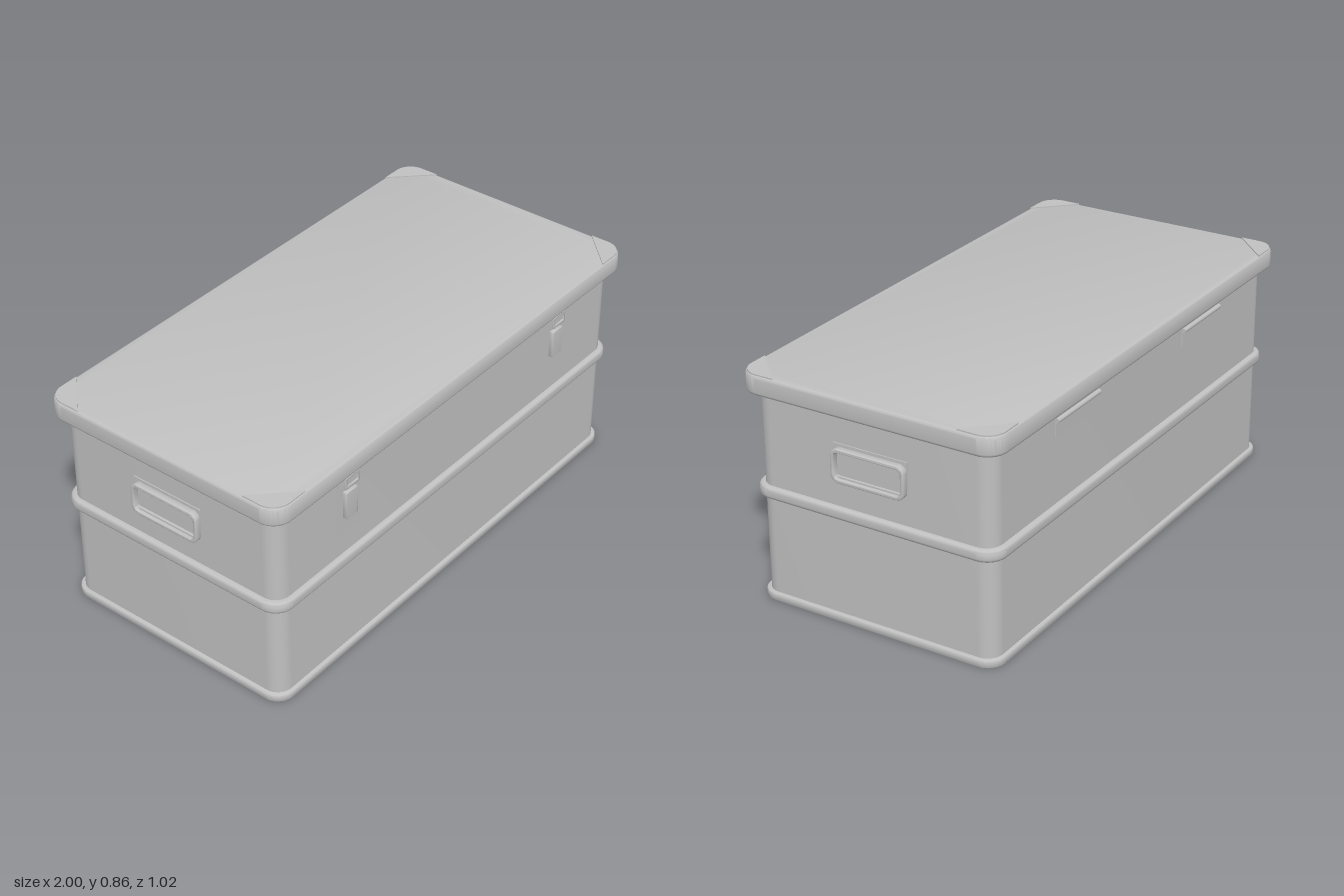
import * as THREE from 'three';
import { toCreasedNormals } from 'three/addons/utils/BufferGeometryUtils.js';

// Rounded rectangle centred on the origin
function roundedRect(w, h, r, Target = THREE.Shape) {
  const s = new Target(), x = w / 2, y = h / 2;
  s.moveTo(-x + r, -y);
  s.lineTo(x - r, -y);
  s.absarc(x - r, -y + r, r, -Math.PI / 2, 0, false);
  s.lineTo(x, y - r);
  s.absarc(x - r, y - r, r, 0, Math.PI / 2, false);
  s.lineTo(-x + r, y);
  s.absarc(-x + r, y - r, r, Math.PI / 2, Math.PI, false);
  s.lineTo(-x, -y + r);
  s.absarc(-x + r, -y + r, r, Math.PI, Math.PI * 1.5, false);
  return s;
}

// Extrusion along +z from 0 to depth, bevelled inside its outline
function extrude(shape, depth, bevel = 0) {
  const geo = new THREE.ExtrudeGeometry(shape, {
    depth: depth - 2 * bevel, curveSegments: 10,
    bevelEnabled: bevel > 0, bevelSize: bevel, bevelThickness: bevel,
    bevelOffset: -bevel, bevelSegments: 4,
  });
  geo.translate(0, 0, bevel);
  return toCreasedNormals(geo, 0.6);
}

// Horizontal rounded slab between two heights
function slab(w, d, r, y0, y1, bevel) {
  const geo = extrude(roundedRect(w, d, r), y1 - y0, bevel);
  geo.rotateX(-Math.PI / 2);
  geo.translate(0, y0, 0);
  return geo;
}

export function createModel() {
  const model = new THREE.Group();
  model.name = 'storageCase';
  const aluminium = new THREE.MeshStandardMaterial({ color: 0xc0c0c0 });
  aluminium.name = 'aluminium';

  function add(parent, name, geo, x = 0, y = 0, z = 0) {
    const mesh = new THREE.Mesh(geo, aluminium);
    mesh.name = name;
    mesh.position.set(x, y, z);
    parent.add(mesh);
    return mesh;
  }
  function group(name, x, y, z) {
    const g = new THREE.Group();
    g.name = name;
    g.position.set(x, y, z);
    model.add(g);
    return g;
  }

  // Case shell, ribs and lid
  add(model, 'body', slab(1.92, 0.94, 0.06, 0.005, 0.8, 0));
  add(model, 'baseRim', slab(1.95, 0.968, 0.07, 0, 0.03, 0.006));
  add(model, 'middleBand', slab(1.96, 0.98, 0.075, 0.395, 0.441, 0.014));
  add(model, 'lid', slab(2, 1.016, 0.075, 0.785, 0.858, 0.012));

  // Triangular corner plates on the lid
  const corner = new THREE.Shape();
  corner.moveTo(0.148, 0.007);
  corner.lineTo(0.075, 0.007);
  corner.absarc(0.075, 0.075, 0.068, -Math.PI / 2, -Math.PI, true);
  corner.lineTo(0.007, 0.148);
  corner.closePath();
  const cornerGeo = extrude(corner, 0.005);
  cornerGeo.rotateX(-Math.PI / 2);
  [[-1, 0.508, 0], [1, 0.508, 1], [1, -0.508, 2], [-1, -0.508, 3]].forEach(([x, z, turn]) => {
    add(model, 'lidCornerPlate', cornerGeo, x, 0.857, z).rotation.y = turn * Math.PI / 2;
  });

  // Side handles: backing plate, raised frame and grip
  const frame = roundedRect(0.292, 0.125, 0.03);
  frame.holes.push(roundedRect(0.264, 0.097, 0.018, THREE.Path));
  for (const side of [-1, 1]) {
    const handle = group(side > 0 ? 'leftHandle' : 'rightHandle', side * 0.96, 0.602, 0);
    handle.rotation.y = side * Math.PI / 2;
    add(handle, 'handlePlate', new THREE.BoxGeometry(0.296, 0.14, 0.008), 0, 0.003, 0);
    add(handle, 'handleFrame', extrude(frame, 0.027, 0.004));
    add(handle, 'handleGrip', new THREE.BoxGeometry(0.266, 0.006, 0.012), 0, -0.046, 0.008);
  }

  // Front latches: backing plate, lever, loop and catch
  const loop = roundedRect(0.076, 0.05, 0.008);
  loop.holes.push(roundedRect(0.052, 0.028, 0.004, THREE.Path));
  for (const side of [-1, 1]) {
    const latch = group('latch', side * 0.597, 0, 0.47);
    add(latch, 'latchPlate', new THREE.BoxGeometry(0.122, 0.222, 0.008), 0, 0.646, 0);
    add(latch, 'latchLever', extrude(roundedRect(0.06, 0.11, 0.004), 0.02, 0.003), 0, 0.65, 0);
    add(latch, 'latchLoop', extrude(loop, 0.007, 0.002), 0, 0.748, 0.015);
    add(latch, 'latchCatch', new THREE.BoxGeometry(0.092, 0.034, 0.018), 0, 0.775, 0.012);
  }

  // Rear hinges: leaf and knuckle
  const knuckle = new THREE.CylinderGeometry(0.009, 0.009, 0.276, 16);
  knuckle.rotateZ(Math.PI / 2);
  for (const side of [-1, 1]) {
    const hinge = group('hinge', side * 0.44, 0, -0.47);
    add(hinge, 'hingeLeaf', new THREE.BoxGeometry(0.276, 0.065, 0.01), 0, 0.722, 0);
    add(hinge, 'hingeKnuckle', knuckle, 0, 0.75, -0.008);
  }
  return model;
}
